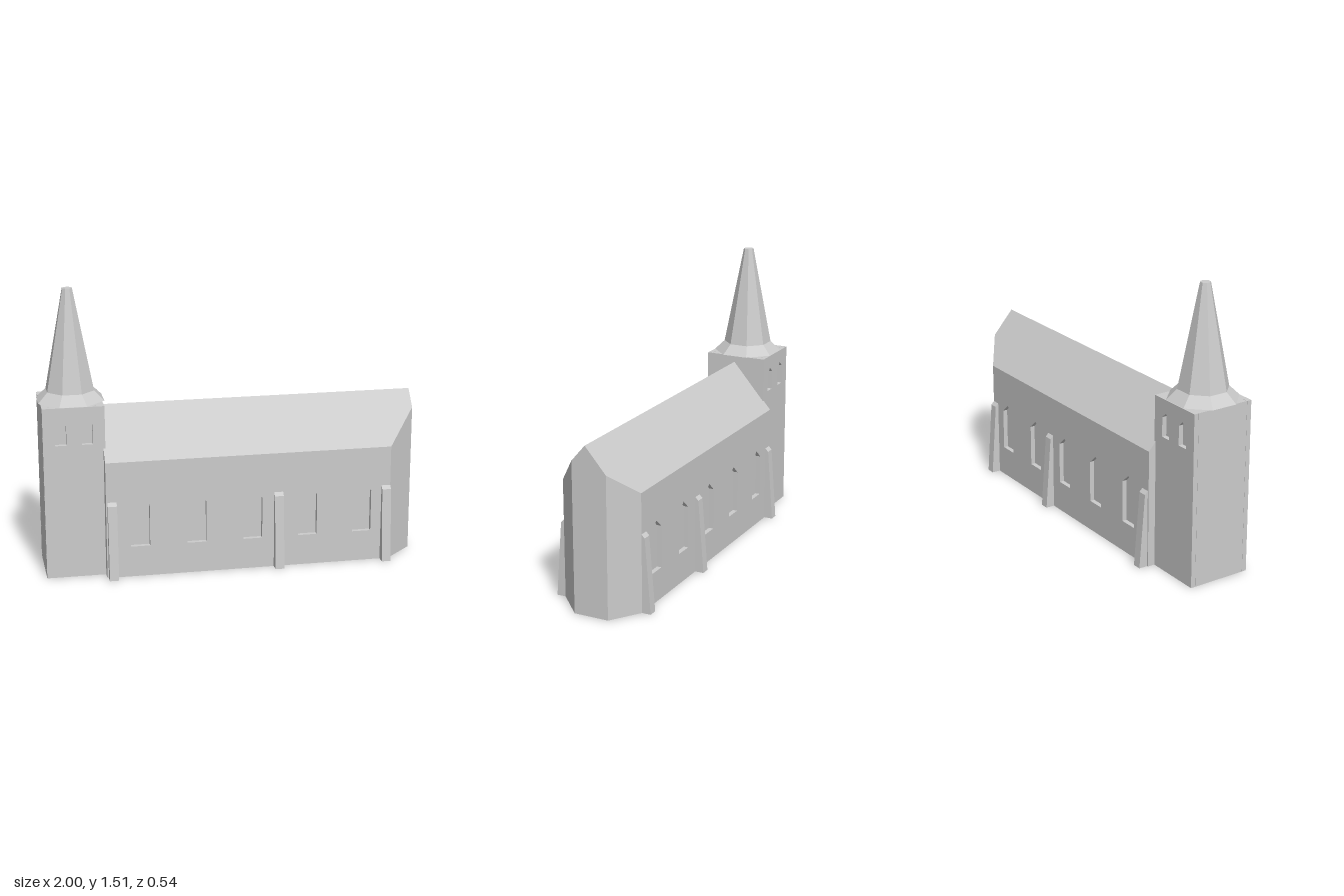
import * as THREE from 'three';

const stone = new THREE.MeshStandardMaterial({ color: 0xcccccc, flatShading: true });
stone.name = 'pale stone';

function add(parent, name, geometry) {
  const mesh = new THREE.Mesh(geometry, stone);
  mesh.name = name;
  parent.add(mesh);
  return mesh;
}

// Flat convex polygons, corners anticlockwise seen from outside
function polygons(faces) {
  const points = [];
  for (const face of faces) {
    for (let i = 1; i < face.length - 1; i++) points.push(...face[0], ...face[i], ...face[i + 1]);
  }
  const geometry = new THREE.BufferGeometry();
  geometry.setAttribute('position', new THREE.Float32BufferAttribute(points, 3));
  geometry.computeVertexNormals();
  return geometry;
}

const shapeOf = (pts) => new THREE.Shape(pts.map(([x, y]) => new THREE.Vector2(x, y)));

// Wall slab with pointed window openings and panes set back in them
function windowWall(parent, name, { x0, x1, height, z, side, windows, size }) {
  const group = new THREE.Group();
  group.name = name;
  const depth = 0.025;
  const [a, b] = side > 0 ? [x0, x1] : [-x1, -x0];
  const wall = shapeOf([[a, 0], [b, 0], [b, height], [a, height]]);
  const { half, sill, shoulder, apex } = size;
  for (const wx of windows) {
    const c = wx * side;
    const outline = [[c - half, sill], [c + half, sill], [c + half, shoulder], [c, apex], [c - half, shoulder]];
    wall.holes.push(shapeOf(outline));
    add(group, 'windowPane', new THREE.ShapeGeometry(shapeOf(outline)));
  }
  add(group, 'wall', new THREE.ExtrudeGeometry(wall, { depth, bevelEnabled: false }));
  for (const child of group.children) child.position.z = Math.abs(z) - depth;
  if (side < 0) group.rotation.y = Math.PI;
  parent.add(group);
}

export function createModel() {
  const model = new THREE.Group();
  model.name = 'church';

  // Nave: roof, angled east end, west gable and floor
  const west = -0.68, corner = 0.845, east = 1, w = 0.22, eaves = 0.63, ridge = 0.885;
  const zf = 0.075, zb = -0.114;
  const roofY = (z) => ridge - (ridge - eaves) * Math.abs(z) / w;
  const nave = new THREE.Group();
  nave.name = 'nave';
  model.add(nave);
  add(nave, 'roof', polygons([
    [[west, eaves, w], [corner, eaves, w], [east, roofY(zf), zf], [east, ridge, 0], [west, ridge, 0]],
    [[west, ridge, 0], [east, ridge, 0], [east, roofY(zb), zb], [corner, eaves, -w], [west, eaves, -w]],
  ]));
  add(nave, 'eastEnd', polygons([
    [[corner, 0, w], [east, 0, zf], [east, roofY(zf), zf], [corner, eaves, w]],
    [[east, 0, zf], [east, 0, zb], [east, roofY(zb), zb], [east, ridge, 0], [east, roofY(zf), zf]],
    [[east, 0, zb], [corner, 0, -w], [corner, eaves, -w], [east, roofY(zb), zb]],
  ]));
  add(nave, 'westGable', polygons([
    [[west, 0, -w], [west, 0, w], [west, eaves, w], [west, ridge, 0], [west, eaves, -w]],
  ]));
  add(nave, 'floor', polygons([
    [[west, 0, w], [west, 0, -w], [corner, 0, -w], [east, 0, zb], [east, 0, zf], [corner, 0, w]],
  ]));

  // Tower core; its front and back faces close the belfry windows
  const tower = new THREE.Group();
  tower.name = 'tower';
  model.add(tower);
  const tx0 = -0.99, tx1 = -0.67, tzf = 0.165, tzb = -0.18, towerTop = 0.92;
  add(tower, 'towerCore', new THREE.BoxGeometry(tx1 - tx0, towerTop, tzf - tzb - 0.052))
    .position.set((tx0 + tx1) / 2, towerTop / 2, (tzf + tzb) / 2);

  // Windowed walls and buttresses on both sides
  for (const side of [1, -1]) {
    const label = side > 0 ? 'front' : 'back';
    windowWall(nave, label + 'NaveWall', {
      x0: west, x1: corner, height: eaves, z: w, side,
      windows: [-0.503, -0.203, 0.096, 0.393, 0.69],
      size: { half: 0.051, sill: 0.166, shoulder: 0.39, apex: 0.436 },
    });
    windowWall(tower, label + 'TowerWall', {
      x0: tx0, x1: tx1, height: towerTop, z: side > 0 ? tzf : tzb, side,
      windows: [-0.898, -0.762],
      size: { half: 0.029, sill: 0.72, shoulder: 0.823, apex: 0.85 },
    });
    for (const x of [-0.649, 0.235, 0.821]) {
      const profile = shapeOf([[0.2, 0], [0.268, 0], [0.237, 0.398], [0.22, 0.416], [0.2, 0.416]]);
      const geometry = new THREE.ExtrudeGeometry(profile, { depth: 0.048, bevelEnabled: false });
      geometry.translate(0, 0, -0.024);
      const buttress = add(nave, label + 'Buttress', geometry);
      buttress.rotation.y = -side * Math.PI / 2;
      buttress.position.x = x;
    }
  }

  // Eight-sided collar and spire, flat sides facing the axes
  const octagon = (name, top, bottom, y0, y1) => {
    const k = 1 / Math.cos(Math.PI / 8);
    const geometry = new THREE.CylinderGeometry(top * k, bottom * k, y1 - y0, 8, 1, false, Math.PI / 8);
    add(tower, name, geometry).position.set(-0.829, (y0 + y1) / 2, -0.007);
  };
  octagon('spireCollar', 0.121, 0.171, 0.921, 0.973);
  octagon('spire', 0.025, 0.121, 0.973, 1.507);

  return model;
}
